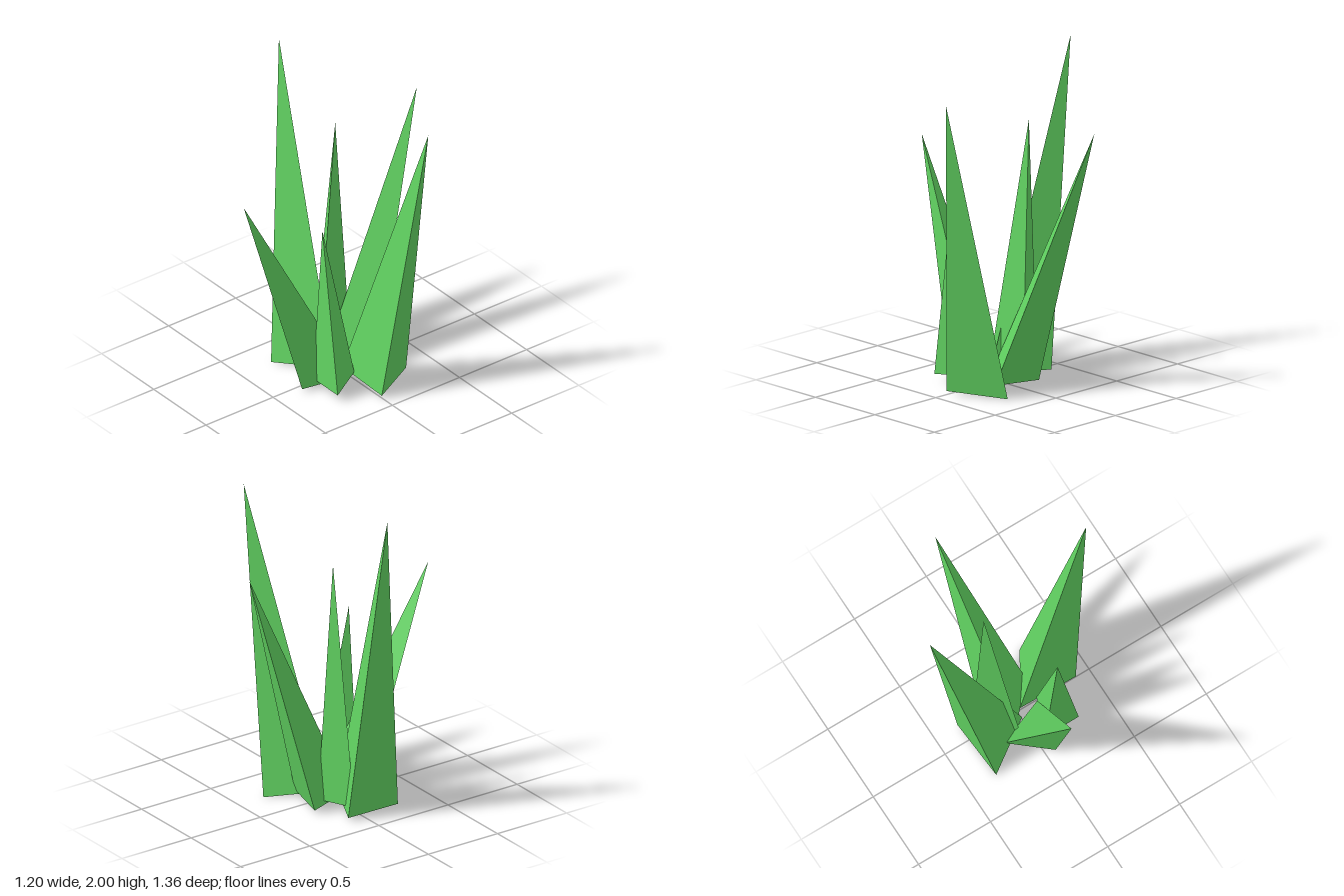
import * as THREE from 'three';

// Each blade: tip and three base corners
const blades = [
  ['rightTallBlade', [-0.6, 2, -0.01], [[-0.345, 0.02, -0.11], [-0.315, 0, 0.27], [0, 0.03, 0.055]]],
  ['leftTallBlade', [0.6, 1.85, -0.19], [[0.22, 0, -0.32], [0.02, 0.03, 0], [0.405, 0.02, 0.005]]],
  ['backBlade', [-0.14, 1.63, -0.68], [[0.149, 0.03, -0.143], [-0.145, 0.02, -0.21], [-0.06, 0.04, 0.09]]],
  ['frontBlade', [-0.05, 1.36, 0.68], [[-0.175, 0.03, 0.135], [0.06, 0.02, 0.33], [0.13, 0.03, 0.015]]],
  ['centreBlade', [-0.172, 1.59, -0.097], [[-0.3, 0.05, -0.035], [-0.08, 0.05, -0.14], [-0.06, 0.05, 0.12]]],
  ['shortBlade', [0.133, 1.12, 0.236], [[0.045, 0.05, 0.236], [0.28, 0.05, 0.236], [0.135, 0.05, 0]]],
];

// Closed three-sided spike with its faces turned outwards
function bladeGeometry(tip, base) {
  const t = new THREE.Vector3(...tip);
  let [a, b, c] = base.map((p) => new THREE.Vector3(...p));
  const up = b.clone().sub(a).cross(c.clone().sub(a));
  if (up.dot(t.clone().sub(a)) < 0) [b, c] = [c, b];
  const geometry = new THREE.BufferGeometry().setFromPoints([a, b, t, b, c, t, c, a, t, a, c, b]);
  geometry.computeVertexNormals();
  return geometry;
}

export function createModel() {
  const tuft = new THREE.Group();
  tuft.name = 'grassTuft';
  const green = new THREE.MeshStandardMaterial({ color: 0x62d462, flatShading: true });
  for (const [name, tip, base] of blades) {
    const blade = new THREE.Mesh(bladeGeometry(tip, base), green);
    blade.name = name;
    tuft.add(blade);
  }
  return tuft;
}
